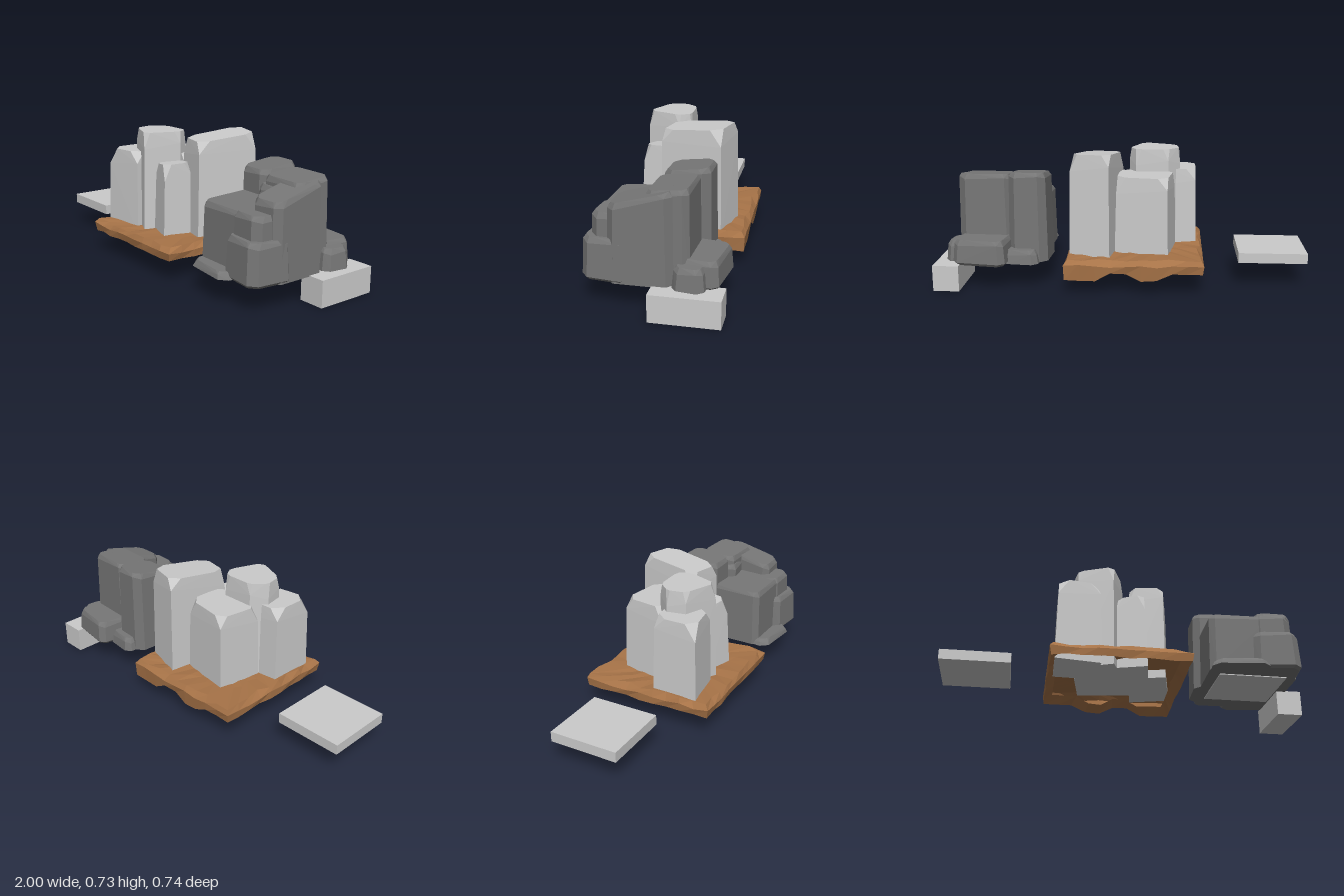
import * as THREE from 'three';
import { ConvexGeometry } from 'three/addons/geometries/ConvexGeometry.js';

const paint = (color) => new THREE.MeshStandardMaterial({ color, flatShading: true });
const grey = paint(0xcccccc);
const darkStone = paint(0x777777);
const earth = paint(0xa87448);
earth.side = THREE.DoubleSide;

function seeded(seed) {
  return () => {
    seed = (seed * 16807) % 2147483647;
    return seed / 2147483647;
  };
}

// Convex stone: footprint [x, z] corners, flat or sloped top whose corners are cut off
function stone(name, corners, y0, y1, { bevel, drop, cut, taper = 0.01, foot = 0, slopeX = 0, slopeZ = 0 }, material) {
  const n = corners.length;
  const cx = corners.reduce((s, c) => s + c[0], 0) / n;
  const cz = corners.reduce((s, c) => s + c[1], 0) / n;
  const topAt = (x, z) => y1 + (x - cx) * slopeX + (z - cz) * slopeZ;
  const inset = ([x, z], amount) => {
    const k = 1 - amount / Math.hypot(x - cx, z - cz);
    return [cx + (x - cx) * k, cz + (z - cz) * k];
  };
  const points = [];
  const add = ([x, z], y) => points.push(new THREE.Vector3(x, y, z));
  corners.forEach((corner, i) => {
    add(inset(corner, foot), y0);
    if (foot) add(corner, y0 + foot);
    const shoulder = inset(corner, taper);
    add(shoulder, topAt(...shoulder) - drop * (i % 2 ? 1 : 0.7));
    const a = inset(corner, taper + bevel), b = inset(corners[(i + 1) % n], taper + bevel);
    for (const t of [cut, 1 - cut]) {
      const p = [a[0] + (b[0] - a[0]) * t, a[1] + (b[1] - a[1]) * t];
      add(p, topAt(...p));
    }
  });
  const mesh = new THREE.Mesh(new ConvexGeometry(points), material);
  mesh.name = name;
  return mesh;
}

// Rectangular footprint with clipped corners, turned about its centre
function clippedRect(x0, x1, z0, z1, clip, turn) {
  const w = (x1 - x0) / 2, d = (z1 - z0) / 2, c = Math.cos(turn), s = Math.sin(turn);
  return [[-w + clip, -d], [w - clip, -d], [w, -d + clip], [w, d - clip],
    [w - clip, d], [-w + clip, d], [-w, d - clip], [-w, -d + clip]]
    .map(([x, z]) => [(x0 + x1) / 2 + x * c - z * s, (z0 + z1) / 2 + x * s + z * c]);
}

function box(name, x0, x1, y0, y1, z0, z1) {
  const mesh = new THREE.Mesh(new THREE.BoxGeometry(x1 - x0, y1 - y0, z1 - z0), grey);
  mesh.position.set((x0 + x1) / 2, (y0 + y1) / 2, (z0 + z1) / 2);
  mesh.name = name;
  return mesh;
}

// Ragged square ground plate, hollow underneath, lofted from perimeter rings
function groundPlate() {
  const rand = seeded(41), per = 9, half = 0.37, cx = -0.07;
  const outline = [];
  const sides = [[-1, 1, 1, 0], [1, 1, 0, -1], [1, -1, -1, 0], [-1, -1, 0, 1]];
  for (const [sx, sz, dx, dz] of sides) {
    for (let i = 0; i < per; i++) {
      const t = (2 * i) / per;
      outline.push([sx + dx * t, sz + dz * t]);
    }
  }
  // Lower edge hangs deepest in two lobes at the back
  const hem = (u, v) => {
    const lobe = (u > -0.55 && u < -0.05) || u > 0.45 ? 0.04 : 0;
    return 0.112 - lobe * THREE.MathUtils.clamp(0.3 - v, 0, 1);
  };
  const rings = [
    ([u, v]) => [0.05, hem(u, v) + 0.04 + rand() * 0.01],
    ([u, v]) => [0.01 * rand(), hem(u, v) + rand() * 0.01],
    () => [0, 0.15 + rand() * 0.015],
    () => [0.012 + 0.025 * rand(), 0.178 + rand() * 0.012],
    () => [0.1 + 0.05 * rand(), 0.176 + rand() * 0.01],
    () => [half, 0.178],
  ];
  const pos = [], index = [], n = outline.length;
  for (const ring of rings) {
    for (const p of outline) {
      const [inset, y] = ring(p);
      pos.push(cx + p[0] * (half - inset), y, p[1] * (half - inset));
    }
  }
  for (let r = 0; r < rings.length - 1; r++) {
    for (let i = 0; i < n; i++) {
      const a = r * n + i, b = r * n + ((i + 1) % n);
      index.push(a, b, b + n, a, b + n, a + n);
    }
  }
  const geometry = new THREE.BufferGeometry();
  geometry.setAttribute('position', new THREE.Float32BufferAttribute(pos, 3));
  geometry.setIndex(index);
  geometry.computeVertexNormals();
  const mesh = new THREE.Mesh(geometry, earth);
  mesh.name = 'groundPlate';
  return mesh;
}

export function createModel() {
  const model = new THREE.Group();
  model.name = 'rockSet';

  // Plain blocks: one at either end and one under the boulder
  model.add(box('flatSlab', -1, -0.63, 0.133, 0.188, -0.19, 0.18));
  model.add(box('longBlock', 0.86, 1, 0, 0.14, -0.365, -0.02));
  model.add(box('boulderBase', 0.48, 0.85, 0.13, 0.185, -0.18, 0.19));

  // Cluster of pale pillars on the ground plate
  const cluster = new THREE.Group();
  cluster.name = 'pillarCluster';
  const pillars = [
    ['frontRightPillar', [[-0.405, 0.03], [-0.19, 0.02], [-0.165, 0.25], [-0.41, 0.285]], 0.6, { cut: 0.25 }],
    ['tallPillar', [[-0.25, -0.02], [-0.06, -0.02], [-0.02, 0.05], [-0.1, 0.25], [-0.3, 0.17], [-0.32, 0.06]], 0.718, { cut: 0.15 }],
    ['backPillar', [[-0.25, -0.235], [0.04, -0.19], [0.03, 0.06], [-0.29, 0.02]], 0.595, {}],
    ['widePillar', [[0.06, -0.3], [0.28, -0.24], [0.2, 0.105], [0.0, 0.06]], 0.71, { slopeZ: -0.1 }],
    ['smallPillar', [[-0.1, 0.19], [0.08, 0.245], [0.11, 0.06], [-0.08, 0.02]], 0.56, { cut: 0.25, slopeX: 0.1, taper: 0.02 }],
  ];
  for (const [name, corners, top, options] of pillars) {
    cluster.add(stone(name, corners, 0.13, top, { bevel: 0.005, drop: 0.09, cut: 0.18, ...options }, grey));
  }
  model.add(groundPlate(), cluster);

  // Dark boulder made of overlapping chunks
  const boulder = new THREE.Group();
  boulder.name = 'boulder';
  const chunks = [
    ['backRightColumn', [0.395, 0.61, -0.25, 0.0, 0.04, 0.06], 0.61, { slopeZ: -0.12 }],
    ['backColumn', [0.59, 0.88, -0.2, 0.02, 0.03, 0.05], 0.595, { slopeZ: -0.1 }],
    ['sideColumn', [0.71, 0.912, -0.125, 0.2, 0.035, 0], 0.56, { slopeZ: -0.26 }],
    ['core', [0.42, 0.79, -0.18, 0.27, 0.03, 0.03], 0.47, { slopeZ: -0.05 }],
    ['middleStep', [0.66, 0.88, 0.05, 0.285, 0.04, 0.08], 0.465, {}],
    ['frontBlock', [0.65, 0.91, 0.07, 0.32, 0.04, 0.12], 0.35, { foot: 0.015 }],
    ['frontApron', [0.42, 0.73, 0.15, 0.345, 0.04, 0.12], 0.17, { drop: 0.02 }],
    ['backLedge', [0.6, 0.89, -0.35, -0.12, 0.03, 0.14], 0.272, { foot: 0.015 }],
    ['ledgeCorner', [0.8, 0.945, -0.28, -0.12, 0.03, 0.14], 0.25, {}],
    ['backFoot', [0.44, 0.64, -0.3, -0.14, 0.03, 0.1], 0.21, {}],
    ['topNotch', [0.56, 0.76, -0.14, 0.03, 0.03, -0.1], 0.54, {}],
    ['frontWedge', [0.66, 0.8, 0.03, 0.2, 0.03, 0.3], 0.42, {}],
  ];
  for (const [name, rect, top, options] of chunks) {
    boulder.add(stone(name, clippedRect(...rect), 0.135, top, { bevel: 0.015, drop: 0.03, cut: 0.1, ...options }, darkStone));
  }
  model.add(boulder);
  return model;
}
